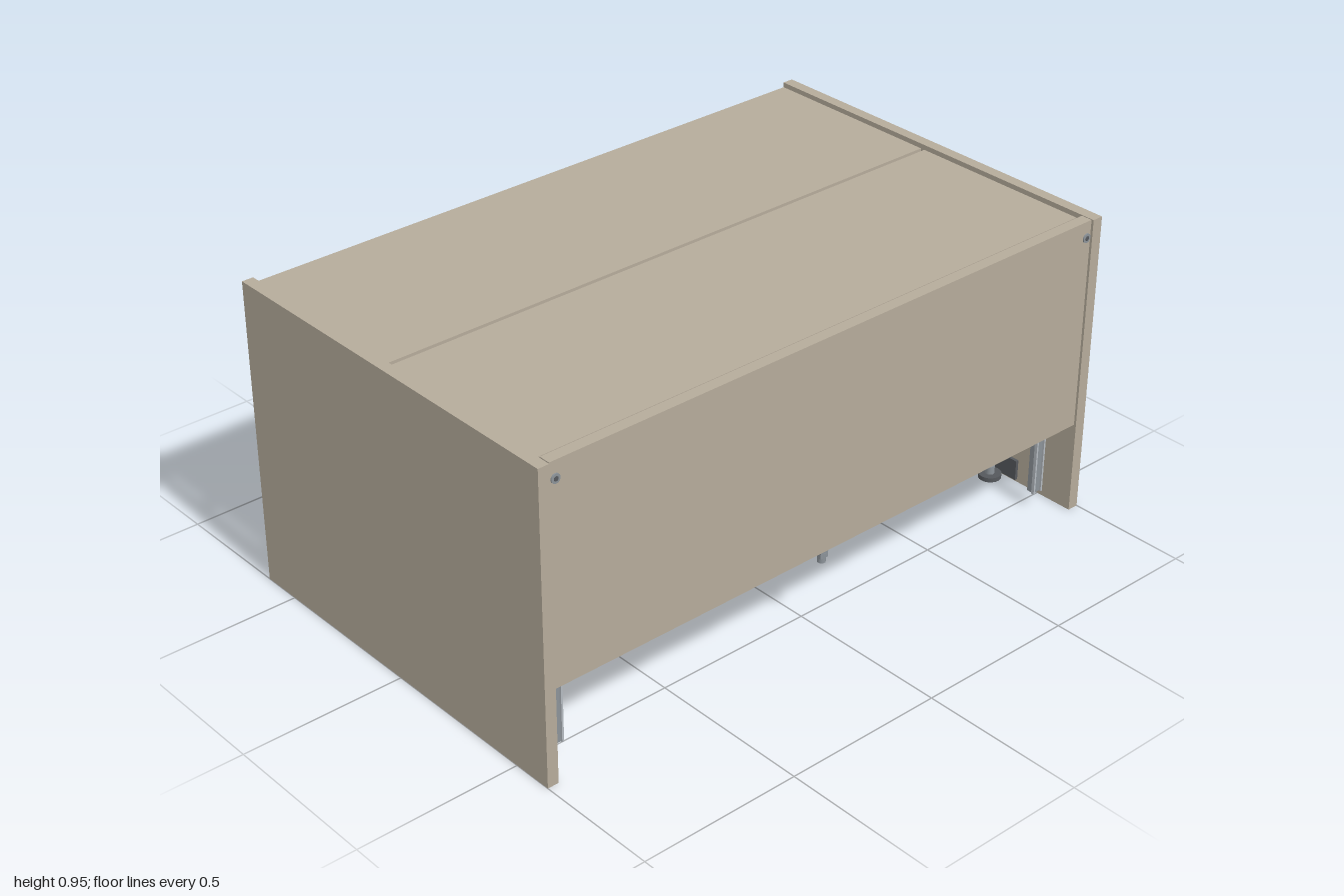
import * as THREE from 'three';

export function createModel() {
  const model = new THREE.Group();
  const mat = (name, color) => {
    const m = new THREE.MeshStandardMaterial({ color });
    m.name = name;
    return m;
  };
  const taupe = mat('taupe laminate', 0xb5ab9a);
  const wood = mat('oak wood', 0xba9064);
  const metal = mat('light metal', 0xb4bac0);
  const steel = mat('grey steel', 0x8b9298);
  const dark = mat('dark fittings', 0x55585c);

  // Box given by its low and high limits on each axis
  const box = (parent, name, m, [x0, x1], [y0, y1], [z0, z1]) => {
    const mesh = new THREE.Mesh(new THREE.BoxGeometry(x1 - x0, y1 - y0, z1 - z0), m);
    mesh.position.set((x0 + x1) / 2, (y0 + y1) / 2, (z0 + z1) / 2);
    mesh.name = name;
    parent.add(mesh);
    return mesh;
  };
  const disc = (parent, name, m, r, h, [x, y, z], axis = 'y') => {
    const mesh = new THREE.Mesh(new THREE.CylinderGeometry(r, r, h, 20), m);
    if (axis === 'x') mesh.rotation.z = Math.PI / 2;
    if (axis === 'z') mesh.rotation.x = Math.PI / 2;
    mesh.position.set(x, y, z);
    mesh.name = name;
    parent.add(mesh);
  };
  // Mirrored x range for the left (+1) or right (-1) side
  const mx = (s, a, b) => (s > 0 ? [a, b] : [-b, -a]);

  // Outer shell
  for (const s of [1, -1]) box(model, 'sidePanel', taupe, mx(s, 0.965, 1), [0, 0.95], [-0.625, 0.625]);
  box(model, 'frontPanel', taupe, [-0.962, 0.962], [0.29, 0.95], [0.585, 0.62]);
  box(model, 'rearLid', taupe, [-0.957, 0.957], [0.905, 0.94], [-0.615, -0.03]);
  box(model, 'frontLid', taupe, [-0.957, 0.957], [0.905, 0.94], [-0.017, 0.57]);
  box(model, 'rearTopRail', taupe, [-0.965, 0.965], [0.87, 0.9], [-0.623, -0.6]);

  // Two open shelf units, each with three bays facing the rear
  for (const [z0, z1] of [[-0.325, -0.01], [0.16, 0.515]]) {
    const unit = new THREE.Group();
    unit.name = 'shelfUnit';
    model.add(unit);
    box(unit, 'shelfFloor', wood, [-0.945, 0.945], [0.225, 0.25], [z0, z1]);
    box(unit, 'shelfBack', wood, [-0.925, 0.925], [0.25, 0.904], [z1 - 0.02, z1]);
    for (const s of [1, -1]) {
      box(unit, 'shelfSide', wood, mx(s, 0.925, 0.945), [0.25, 0.904], [z0, z1]);
      box(unit, 'divider', wood, mx(s, 0.262, 0.284), [0.25, 0.904], [z0, z1 - 0.02]);
      // Supporting post with channel lips
      const zp = z1 + 0.02;
      box(unit, 'post', steel, mx(s, 0.892, 0.918), [0.05, 0.29], [zp - 0.012, zp + 0.012]);
      for (const x of [0.887, 0.917])
        box(unit, 'postLip', metal, mx(s, x, x + 0.006), [0.05, 0.29], [zp + 0.008, zp + 0.018]);
      disc(unit, 'levelingPad', steel, 0.025, 0.012, [s * 0.86, 0.218, z1 - 0.08]);
    }
  }

  // Stretcher under the front panel with its central latch
  box(model, 'stretcher', metal, [-0.885, 0.885], [0.252, 0.292], [0.555, 0.575]);
  box(model, 'latch', steel, [-0.014, 0.014], [0.235, 0.295], [0.572, 0.583]);
  disc(model, 'latchPin', steel, 0.012, 0.03, [0, 0.235, 0.572]);

  // Low track with twin rails across the rear
  box(model, 'trackBase', steel, [-0.93, 0.93], [0.005, 0.012], [-0.44, -0.385]);
  for (const z of [-0.44, -0.417, -0.394])
    box(model, 'trackRail', metal, [-0.93, 0.93], [0.005, 0.022], [z, z + 0.009]);

  for (const s of [1, -1]) {
    // Track end brackets
    box(model, 'trackBracket', metal, mx(s, 0.945, 0.965), [0, 0.075], [-0.45, -0.375]);
    box(model, 'trackClamp', steel, mx(s, 0.89, 0.945), [0.012, 0.04], [-0.435, -0.39]);
    disc(model, 'trackRoller', steel, 0.022, 0.02, [s * 0.925, 0.045, -0.412], 'x');

    // Floor glides near the front
    disc(model, 'glideFoot', dark, 0.035, 0.014, [s * 0.92, 0.012, 0.35]);
    disc(model, 'glideStem', steel, 0.014, 0.03, [s * 0.92, 0.03, 0.35]);
    box(model, 'glidePlate', dark, mx(s, 0.955, 0.965), [0.01, 0.075], [0.31, 0.42]);

    // Lid hinges and front panel bolts
    for (const z of [-0.56, -0.32, 0.36])
      box(model, 'hinge', dark, mx(s, 0.9, 0.962), [0.875, 0.904], [z - 0.03, z + 0.03]);
    disc(model, 'boltRim', steel, 0.014, 0.006, [s * 0.945, 0.9, 0.621], 'z');
    disc(model, 'boltCore', dark, 0.007, 0.008, [s * 0.945, 0.9, 0.621], 'z');
  }
  return model;
}
